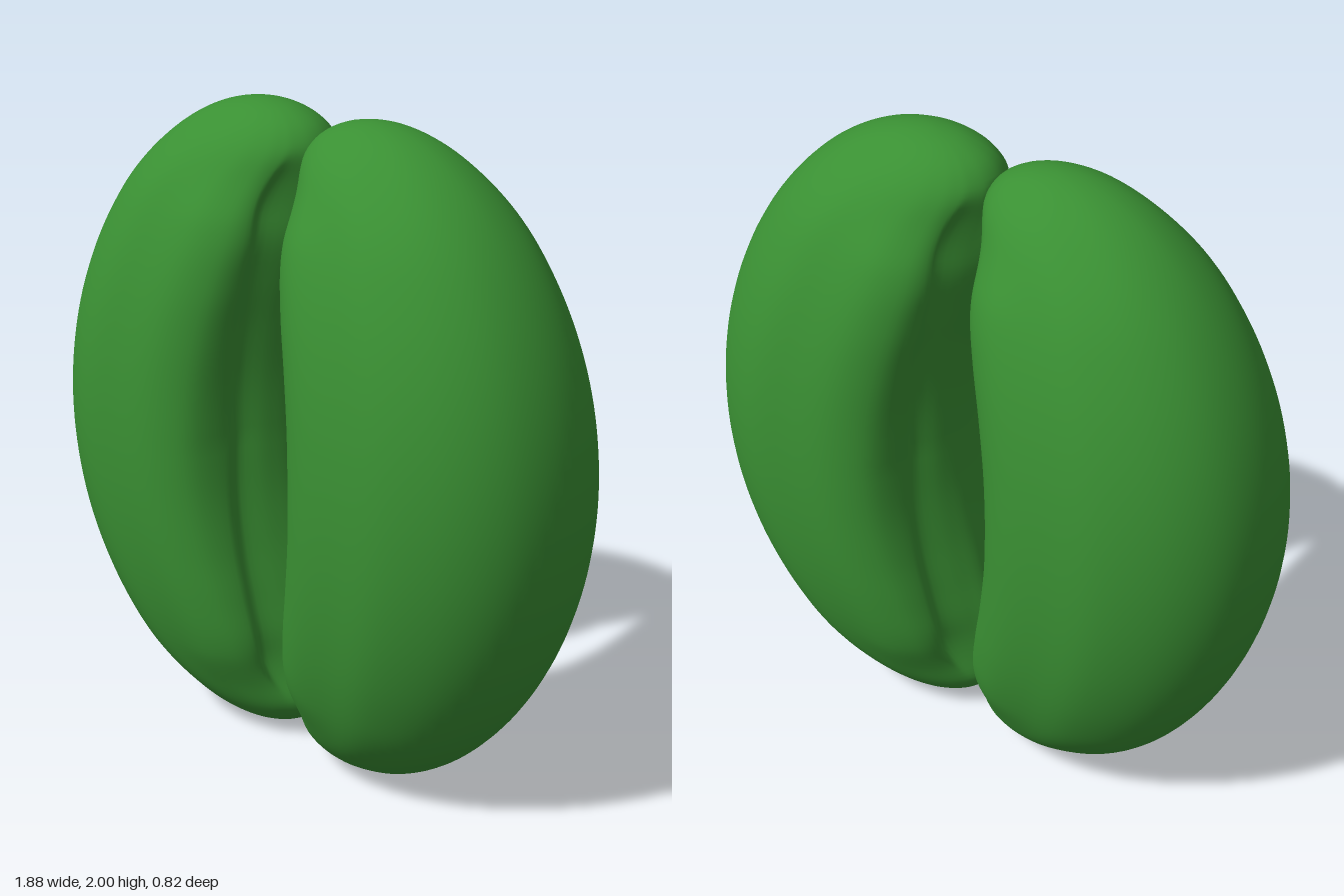
import * as THREE from 'three';

const RINGS = 96, SEGS = 96;

// Smooth lookup through evenly spaced values, t in 0..1
const profile = (values) => {
  const curve = new THREE.SplineCurve(values.map((v, i) => new THREE.Vector2(i, v)));
  return (t) => curve.getPoint(t).y;
};

// Inner edges from mid height (t = 0) to either tip (t = 1)
const ridgeEdge = profile([0.12, 0.112, 0.087, 0.05, 0.01, -0.012, -0.01, 0.03, 0.115, 0.22]);
const lipEdge = profile([0.165, 0.157, 0.133, 0.1, 0.075, 0.085, 0.13, 0.16, 0.18, 0.22]);

// Angles that pair a plain oval with the points of the grooved section
const OVAL = [0, 25, 48, 75, 97, 117, 134, 146, 155, 168, 180];

// Closed cross-section of one lobe at latitude s (-PI/2 .. PI/2)
function section(s) {
  const t = Math.abs(s) / (Math.PI / 2);
  const c = Math.cos(s), h = Math.abs(Math.sin(s));
  const outer = 0.22 + 0.72 * c * (1 - 0.04 * h * h);
  const depth = 0.408 * c * (1 + 0.08 * h * h);
  const ridge = ridgeEdge(t), lip = lipEdge(t), w = outer - lip;
  const lipZ = 0.55 + 0.14 * h;
  const plain = THREE.MathUtils.smoothstep(h, 0.68, 0.9);
  const grooved = [
    [outer, 0], [lip + 0.955 * w, 0.42], [lip + 0.82 * w, 0.75], [lip + 0.61 * w, 0.97],
    [lip + 0.4 * w, 1], [lip + 0.2 * w, 0.98], [lip + 0.06 * w, 0.83], [lip, lipZ],
    [lip + 0.018, lipZ - 0.13], [ridge + 0.5 * (lip - ridge), 0.23], [ridge, 0],
  ];
  const half = grooved.map(([x, z], i) => {
    const a = THREE.MathUtils.degToRad(OVAL[i]);
    const ox = (outer + ridge) / 2 + (outer - ridge) / 2 * Math.cos(a);
    return [
      THREE.MathUtils.lerp(x, ox, plain),
      depth * THREE.MathUtils.lerp(z, Math.sin(a), plain),
    ];
  });
  const back = half.slice(1, -1).reverse().map(([x, z]) => [x, -z]);
  const loop = [...half, ...back].map(([x, z]) => new THREE.Vector3(x, 0, z));
  return new THREE.CatmullRomCurve3(loop, true, 'catmullrom', 0.5);
}

// One lobe lofted from pole to pole; side = 1 (left) or -1 (right)
function lobeGeometry(side) {
  const pos = [side * 0.22, 0, 0], index = [];
  const tri = (a, b, c) => (side > 0 ? index.push(a, b, c) : index.push(a, c, b));
  for (let i = 1; i < RINGS; i++) {
    const s = (i / RINGS - 0.5) * Math.PI;
    const curve = section(s);
    for (let j = 0; j < SEGS; j++) {
      const p = curve.getPoint(j / SEGS);
      pos.push(side * Math.max(p.x, 0), 1 + Math.sin(s), p.z);
    }
  }
  pos.push(side * 0.22, 2, 0);
  const top = pos.length / 3 - 1;
  const id = (i, j) => 1 + i * SEGS + (j % SEGS);
  for (let j = 0; j < SEGS; j++) {
    tri(0, id(0, j), id(0, j + 1));
    for (let i = 0; i < RINGS - 2; i++) {
      tri(id(i, j), id(i + 1, j), id(i + 1, j + 1));
      tri(id(i, j), id(i + 1, j + 1), id(i, j + 1));
    }
    tri(top, id(RINGS - 2, j + 1), id(RINGS - 2, j));
  }
  const geo = new THREE.BufferGeometry();
  geo.setAttribute('position', new THREE.Float32BufferAttribute(pos, 3));
  geo.setIndex(index);
  geo.computeVertexNormals();
  return geo;
}

export function createModel() {
  const model = new THREE.Group();
  model.name = 'twinLobes';
  const green = new THREE.MeshStandardMaterial({ color: 0x3a9033 });
  green.name = 'leafGreen';

  // Mirrored pair of bean-shaped lobes
  for (const [name, side] of [['leftLobe', 1], ['rightLobe', -1]]) {
    const lobe = new THREE.Mesh(lobeGeometry(side), green);
    lobe.name = name;
    model.add(lobe);
  }
  return model;
}
